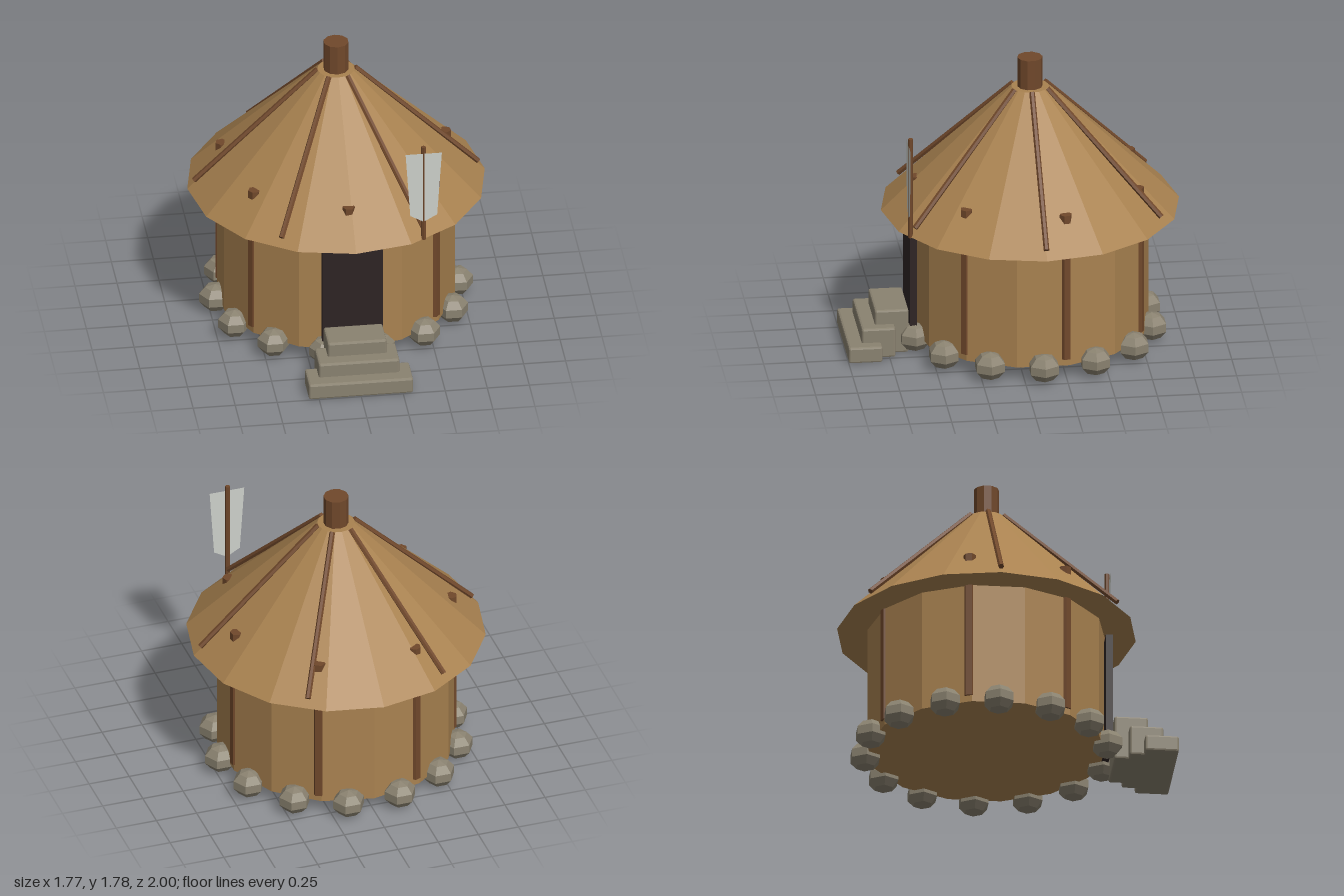
import * as THREE from 'three';
import { RoundedBoxGeometry } from 'three/addons/geometries/RoundedBoxGeometry.js';

const CENTER_Z = -0.11;

export function createModel() {
  const model = new THREE.Group();
  model.name = 'roundHut';

  const material = (name, color, extra = {}) => {
    const m = new THREE.MeshStandardMaterial({ color, flatShading: true, ...extra });
    m.name = name;
    return m;
  };
  const straw = material('straw', 0xa98250);
  const wood = material('wood', 0x70482b);
  const stone = material('stone', 0x8a8270);
  const dark = material('darkDoor', 0x2e2424);
  const cloth = material('paleCloth', 0xcdd0ca, { side: THREE.DoubleSide });

  const hut = new THREE.Group();
  hut.name = 'hut';
  hut.position.z = CENTER_Z;
  model.add(hut);

  const add = (parent, name, geometry, mat, x = 0, y = 0, z = 0) => {
    const mesh = new THREE.Mesh(geometry, mat);
    mesh.name = name;
    mesh.position.set(x, y, z);
    parent.add(mesh);
    return mesh;
  };
  // Point on a circle; angle 0 is the front
  const ring = (r, angle, y) => new THREE.Vector3(r * Math.sin(angle), y, r * Math.cos(angle));

  // Wall, roof and chimney post
  add(hut, 'wall', new THREE.CylinderGeometry(0.705, 0.705, 0.77, 14), straw, 0, 0.475);
  add(hut, 'roof', new THREE.CylinderGeometry(0.11, 0.885, 0.755, 16), straw, 0, 1.2225);
  add(hut, 'chimneyPost', new THREE.CylinderGeometry(0.075, 0.075, 0.285, 10), wood, 0, 1.6425);

  // Poles lying on the roof
  for (let i = 0; i < 6; i++) {
    const angle = Math.PI / 6 + (i * Math.PI) / 3;
    const low = ring(0.845, angle, 0.9);
    const high = ring(0.112, angle, 1.6);
    const dir = high.clone().sub(low);
    const pole = add(hut, 'roofPole', new THREE.CylinderGeometry(0.017, 0.017, dir.length(), 6), wood);
    pole.position.copy(low).lerp(high, 0.5);
    pole.quaternion.setFromUnitVectors(new THREE.Vector3(0, 1, 0), dir.normalize());
  }

  // Wall posts whose tops poke through the roof
  for (let i = 0; i < 7; i++) {
    const angle = -0.025 + (i * Math.PI * 2) / 7;
    const post = add(hut, 'wallPost', new THREE.CylinderGeometry(0.037, 0.037, 0.92, 6), wood);
    post.position.copy(ring(0.68, angle, 0.59));
    post.rotation.y = angle + Math.PI / 6;
  }

  // Ring of foundation stones
  const stoneGeometry = new THREE.SphereGeometry(0.1, 6, 5);
  for (let i = 0; i < 14; i++) {
    const rock = add(hut, 'foundationStone', stoneGeometry, stone);
    rock.position.copy(ring(0.72, ((i + 0.5) * Math.PI * 2) / 14, 0.095));
    rock.scale.y = 0.85;
  }

  // Door
  add(model, 'door', new THREE.BoxGeometry(0.36, 0.71, 0.042), dark, 0, 0.445, 0.601);

  // Steps with softened edges
  [[0.62, 0.1, 0.9], [0.48, 0.187, 0.815], [0.35, 0.275, 0.73]].forEach(([w, h, z]) => {
    add(model, 'step', new RoundedBoxGeometry(w, h, 0.2, 1, 0.012), stone, 0, h / 2, z);
  });

  // Banner on a thin pole at the roof edge
  const banner = new THREE.Group();
  banner.name = 'banner';
  banner.position.set(0.418, 0, 0.647);
  model.add(banner);
  add(banner, 'bannerPole', new THREE.CylinderGeometry(0.015, 0.015, 0.63, 6), wood, 0, 1.155);
  const outline = [[-0.108, 1.43], [-0.08, 1.01], [0, 0.965], [0.08, 1.01], [0.108, 1.43]];
  const shape = new THREE.Shape(outline.map(([x, y]) => new THREE.Vector2(x, y)));
  add(banner, 'bannerCloth', new THREE.ShapeGeometry(shape), cloth, 0, 0, 0.0125);

  return model;
}
